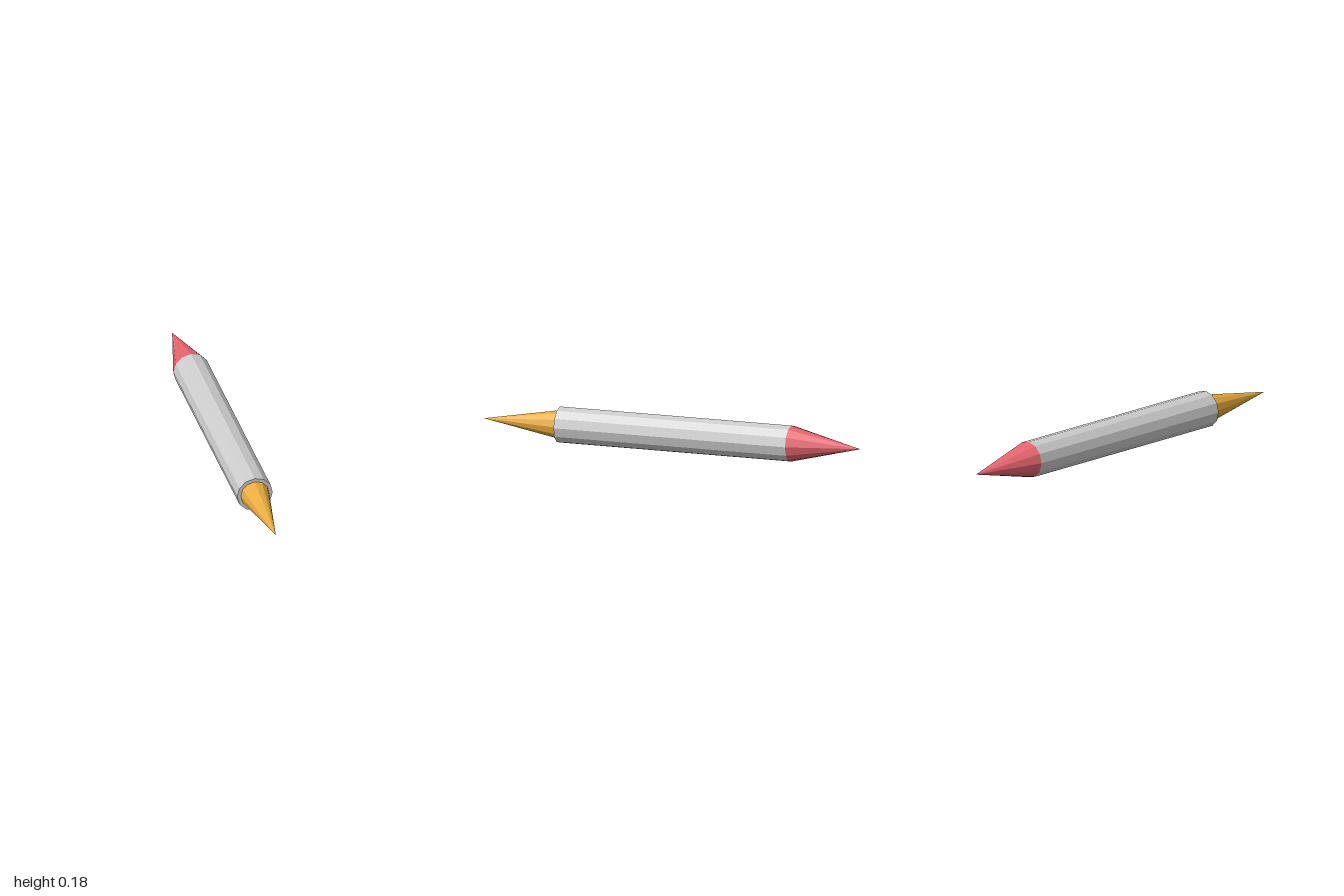
import * as THREE from 'three';

const SIDES = 12;
const AXIS_Y = 0.093;

// Faceted tapered section along z, from the back radius to the front radius
function section(name, color, backRadius, frontRadius, backZ, frontZ) {
  const length = frontZ - backZ;
  const geometry = new THREE.CylinderGeometry(frontRadius, backRadius, length, SIDES);
  geometry.rotateX(Math.PI / 2);
  const material = new THREE.MeshStandardMaterial({ color, flatShading: true });
  const mesh = new THREE.Mesh(geometry, material);
  mesh.name = name;
  mesh.position.set(0, AXIS_Y, (backZ + frontZ) / 2);
  return mesh;
}

export function createModel() {
  const group = new THREE.Group();
  group.name = 'doublePointedStick';

  const bodyRadius = 0.092;
  const bodyBack = -0.634;
  const bodyFront = 0.596;

  // Straight barrel
  group.add(section('barrel', 0xcccccc, bodyRadius, bodyRadius, bodyBack, bodyFront));
  // Narrower golden point, leaving a shoulder on the barrel
  group.add(section('frontPoint', 0xe8ab3c, 0.073, 0, bodyFront, 1));
  // Red point, flush with the barrel
  group.add(section('backPoint', 0xe8656f, 0, bodyRadius, -1, bodyBack));

  return group;
}
